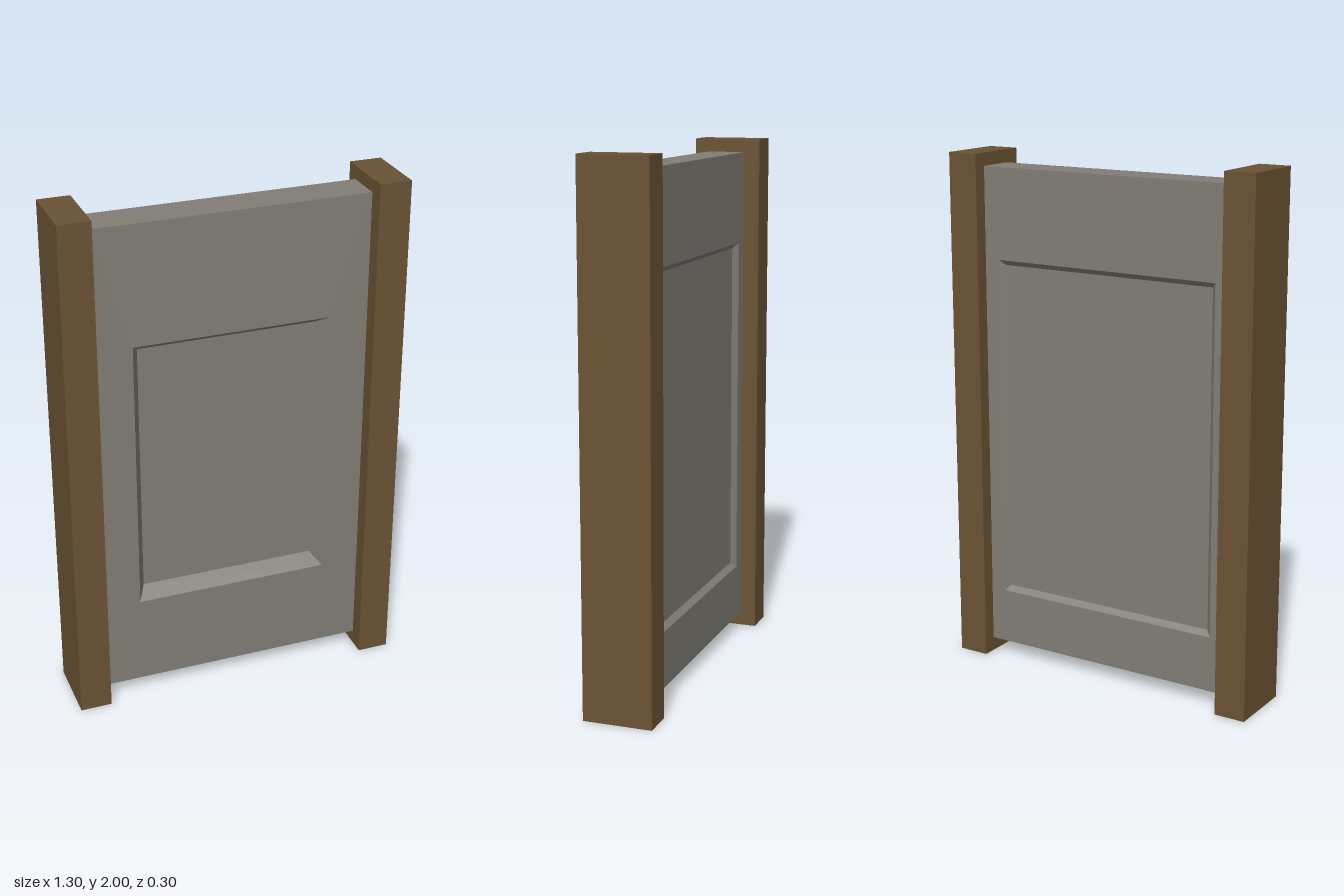
import * as THREE from 'three';

// Joins a chain of rectangular rings [x0, x1, y0, y1, z] and caps both ends.
function loftRects(rings) {
  const pos = [];
  const corners = rings.map(([x0, x1, y0, y1, z]) => [[x0, y0, z], [x1, y0, z], [x1, y1, z], [x0, y1, z]]);
  const quad = (a, b, c, d) => pos.push(...a, ...b, ...c, ...a, ...c, ...d);
  for (let r = 0; r < corners.length - 1; r++) {
    const A = corners[r], B = corners[r + 1];
    for (let i = 0; i < 4; i++) {
      const j = (i + 1) % 4;
      quad(A[i], B[i], B[j], A[j]);
    }
  }
  quad(...corners[0]);
  quad(...corners[corners.length - 1].slice().reverse());
  const geo = new THREE.BufferGeometry();
  geo.setAttribute('position', new THREE.Float32BufferAttribute(pos, 3));
  geo.computeVertexNormals();
  return geo;
}

export function createModel() {
  const model = new THREE.Group();
  model.name = 'framedPanel';

  const wood = new THREE.MeshStandardMaterial({ color: 0x6a5334 });
  wood.name = 'brownWood';
  const stone = new THREE.MeshStandardMaterial({ color: 0x827e76 });
  stone.name = 'greyStone';

  // Slab with a deep bevelled recess in front and a shallow one behind
  const half = 0.0735;
  const panel = new THREE.Mesh(loftRects([
    [-0.347, 0.343, 0.447, 1.45, half - 0.06], // front recess floor
    [-0.38, 0.375, 0.41, 1.487, half],         // front recess rim
    [-0.525, 0.525, 0.055, 1.95, half],        // slab front edge
    [-0.525, 0.525, 0.055, 1.95, -half],       // slab back edge
    [-0.465, 0.465, 0.27, 1.6, -half],         // back recess rim
    [-0.445, 0.445, 0.29, 1.58, -half + 0.02], // back recess floor
  ]), stone);
  panel.name = 'panel';
  panel.position.z = -0.002;
  model.add(panel);

  // Square posts on both sides
  for (const [name, side, z] of [['leftPost', 1, 0.004], ['rightPost', -1, -0.007]]) {
    const post = new THREE.Mesh(new THREE.BoxGeometry(0.122, 2, 0.263), wood);
    post.name = name;
    post.position.set(side * 0.586, 1, z);
    model.add(post);
  }

  // The whole piece stands slightly turned
  model.rotation.y = -0.017;
  return model;
}
